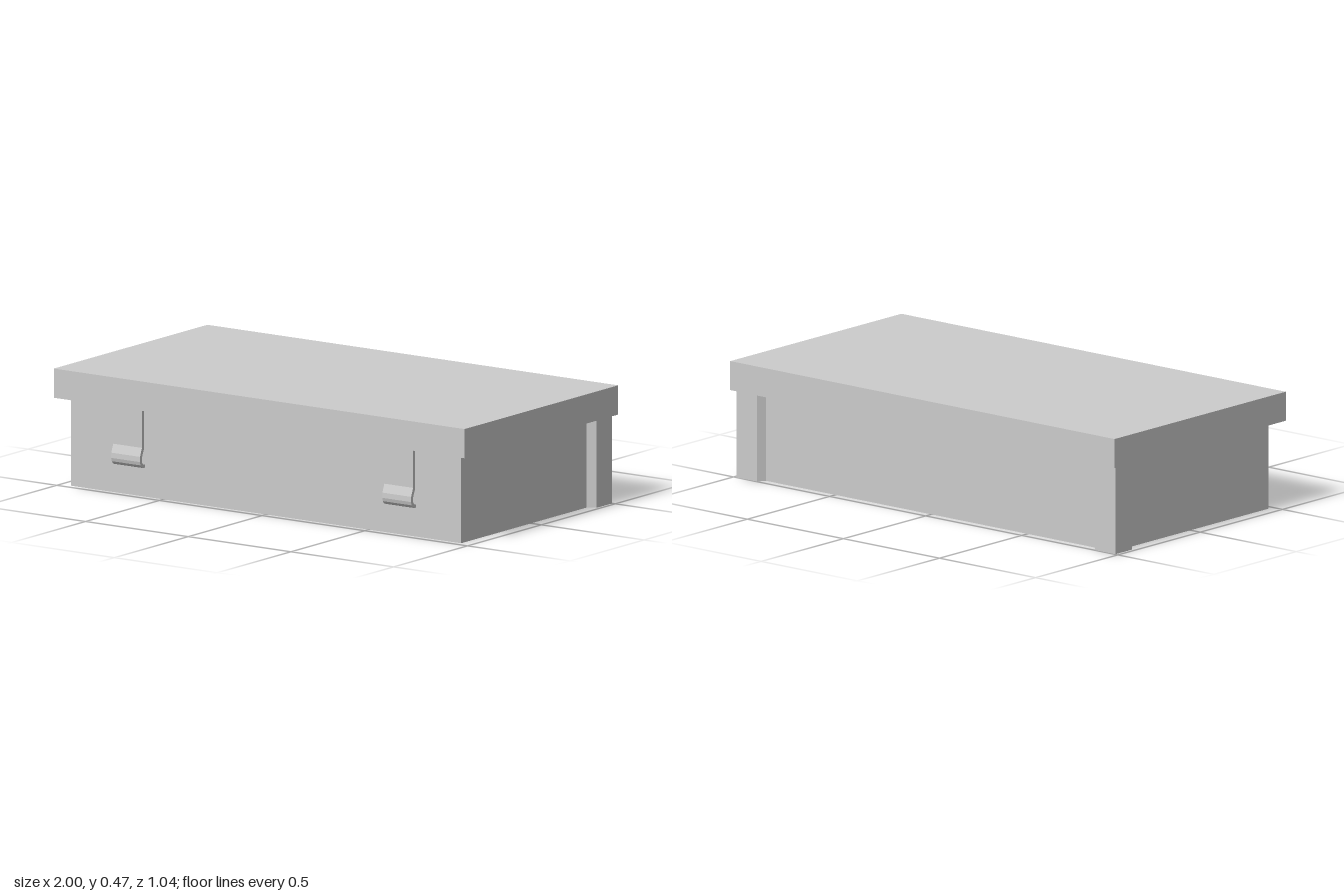
import * as THREE from 'three';

const material = new THREE.MeshStandardMaterial({ color: 0xcccccc, flatShading: true });

function add(parent, name, geometry, x = 0, y = 0, z = 0) {
  const mesh = new THREE.Mesh(geometry, material);
  mesh.name = name;
  mesh.position.set(x, y, z);
  parent.add(mesh);
  return mesh;
}

function outline(points) {
  return new THREE.Shape(points.map(([x, y]) => new THREE.Vector2(x, y)));
}

export function createModel() {
  const group = new THREE.Group();
  group.name = 'lidded box';
  const rimY = 0.357;

  // Box body and overhanging lid
  add(group, 'body', new THREE.BoxGeometry(1.9, rimY, 0.938), 0, rimY / 2, 0.004);
  add(group, 'lid', new THREE.BoxGeometry(2, 0.118, 1.04), 0, rimY + 0.059, 0);

  // Rear corner guards: L-shaped plan with bevelled ends, drawn as (x, -z)
  for (const side of [-1, 1]) {
    const plan = outline([
      [0.945, 0.376], [0.95, 0.376], [0.985, 0.395], [0.985, 0.498],
      [0.88, 0.498], [0.86, 0.465], [0.86, 0.46], [0.945, 0.46],
    ].map(([x, y]) => [x * side, y]));
    const guard = new THREE.ExtrudeGeometry(plan, { depth: rimY, bevelEnabled: false });
    guard.rotateX(-Math.PI / 2);
    add(group, side > 0 ? 'leftCornerGuard' : 'rightCornerGuard', guard);
  }

  // Front clips: bent strip in side profile, drawn as (z, y)
  const profile = outline([
    [0.479, rimY], [0.479, 0.195], [0.492, 0.163], [0.493, 0.143], [0.487, 0.133],
    [0.472, 0.13], [0.472, 0.117], [0.484, 0.117], [0.495, 0.121], [0.503, 0.131],
    [0.507, 0.145], [0.506, 0.166], [0.493, 0.2], [0.493, rimY],
  ]);
  const clip = new THREE.ExtrudeGeometry(profile, { depth: 0.14, bevelEnabled: false });
  clip.translate(0, 0, -0.07).rotateY(-Math.PI / 2).scale(1, 1, 1);
  for (const side of [-1, 1]) {
    add(group, side > 0 ? 'leftClip' : 'rightClip', clip, side * 0.66);
  }

  return group;
}
